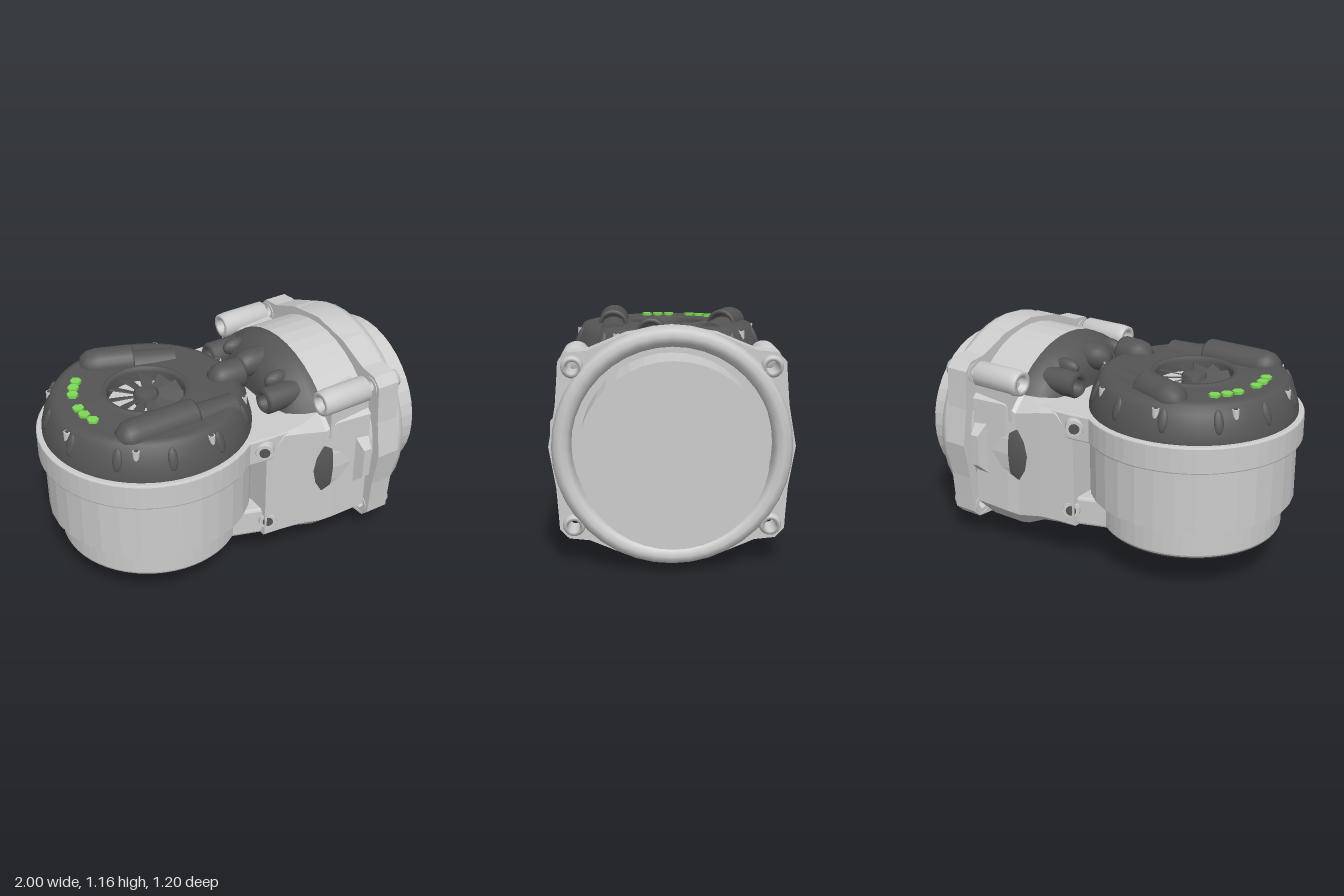
import * as THREE from 'three';

const mat = (color, flat = false) =>
  new THREE.MeshStandardMaterial({ color, flatShading: flat, side: THREE.DoubleSide });
const GREY = mat(0xcccccc), FLAT = mat(0xcccccc, true);
const DARK = mat(0x555555), DARKFLAT = mat(0x555555, true), GREEN = mat(0x7ed957);
const CX = -0.43;   // axis of the upright motor
const CY = 0.585;   // height of the sideways motor axis
const V = (x, y) => new THREE.Vector2(x, y);

export function createModel() {
  const model = new THREE.Group();

  const add = (name, geo, material, x = 0, y = 0, z = 0, parent = model) => {
    const m = new THREE.Mesh(geo, material);
    m.name = name;
    m.position.set(x, y, z);
    parent.add(m);
    return m;
  };
  const lathe = (pts, n = 48) => new THREE.LatheGeometry(pts.map(p => V(...p)), n);
  // lathe around the x axis: points are [radius, x]
  const latheX = (pts, n) => lathe(pts, n).rotateZ(-Math.PI / 2);
  const plan = (shape, h, bevel = 0) => new THREE.ExtrudeGeometry(shape, {
    depth: h - 2 * bevel, bevelEnabled: bevel > 0, bevelSize: bevel, bevelOffset: -bevel,
    bevelThickness: bevel, bevelSegments: 2, curveSegments: 24,
  }).translate(0, 0, bevel).rotateX(-Math.PI / 2);
  // round end at the upright motor, tapering into a neck
  const keyhole = (r, neck, x1, w1) => {
    const a = 0.95, s = new THREE.Shape();
    s.moveTo(x1, -w1);
    s.lineTo(0, -neck);
    for (let i = 0; i <= 40; i++) {
      const t = -a - (i / 40) * (2 * Math.PI - 2 * a);
      s.lineTo(CX + r * Math.cos(t), r * Math.sin(t));
    }
    s.lineTo(0, neck);
    s.lineTo(x1, w1);
    s.closePath();
    return s;
  };

  // upright motor, its collar and the base plate
  add('uprightMotor', new THREE.CylinderGeometry(0.54, 0.54, 0.34, 32), FLAT, CX, 0.585, 0);
  add('motorGap', new THREE.CylinderGeometry(0.46, 0.46, 0.04, 32), GREY, CX, 0.405, 0);
  add('collar', plan(keyhole(0.57, 0.475, 0.12, 0.48), 0.14, 0.008), FLAT, 0, 0.74, 0);
  add('basePlate', plan(keyhole(0.48, 0.44, 0.2, 0.47), 0.16, 0.015), FLAT, 0, 0.24, 0);
  add('baseDisc', new THREE.CylinderGeometry(0.47, 0.465, 0.01, 48), DARK, CX, 0.237, 0);

  // bolted strip under the base
  const strip = new THREE.Shape();
  strip.absarc(0, 0.19, 0.105, 0, Math.PI);
  strip.absarc(0, -0.19, 0.105, Math.PI, 2 * Math.PI);
  add('boltStrip', plan(strip, 0.055, 0.015), GREY, -0.05, 0.19, 0);
  for (let i = 0; i < 4; i++) {
    const z = -0.2 + i * 0.133;
    add('stripBolt', new THREE.CylinderGeometry(0.035, 0.035, 0.03, 6), FLAT, -0.05, 0.183, z);
    add('stripBoltSocket', new THREE.CylinderGeometry(0.018, 0.018, 0.004, 12), DARK, -0.05, 0.167, z);
  }

  // fan cap
  add('cap', lathe([[0.54, 0.87], [0.54, 0.9], [0.525, 0.96], [0.5, 1.02], [0.475, 1.055],
    [0.44, 1.065], [0.235, 1.055], [0.225, 1.07], [0.205, 1.07], [0.195, 1.05], [0.195, 0.98]], 64),
  DARK, CX);
  add('fanFloor', new THREE.CylinderGeometry(0.2, 0.2, 0.02, 40), GREY, CX, 0.985, 0);
  add('fanHub', lathe([[0, 1.055], [0.05, 1.055], [0.065, 1.045], [0.065, 0.99]], 24), DARK, CX);
  const blade = new THREE.Shape([V(0.05, -0.02), V(0.12, -0.042), V(0.19, -0.05),
    V(0.19, 0.035), V(0.12, 0.02), V(0.05, 0.015)]);
  for (let i = 0; i < 11; i++) {
    const holder = new THREE.Group();
    holder.name = 'fanBlade';
    holder.position.set(CX, 1.025, 0);
    holder.rotation.y = (i / 11) * 2 * Math.PI;
    add('blade', plan(blade, 0.006), DARKFLAT, 0, 0, 0, holder).rotation.x = 0.4;
    model.add(holder);
  }
  for (let i = 0; i < 8; i++) {
    const a = -0.18 + i * Math.PI / 4;
    const x = CX + 0.495 * Math.cos(a), z = 0.495 * Math.sin(a);
    add('capScrew', new THREE.CylinderGeometry(0.018, 0.018, 0.05, 12), GREY, x, 1.012, z);
    add('capScrewSocket', new THREE.CylinderGeometry(0.011, 0.011, 0.004, 10), DARK, x, 1.038, z);
  }
  for (let i = 0; i < 12; i++) {
    const a = 0.26 + i * Math.PI / 6;
    const notch = add('capNotch', new THREE.SphereGeometry(0.06, 12, 8).scale(0.25, 1, 0.42),
      DARK, CX + 0.512 * Math.cos(a), 0.985, 0.512 * Math.sin(a));
    notch.rotation.set(0, -a, 0.35, 'YXZ');
  }
  [[-0.7, -0.25], [-0.74, -0.2], [-0.77, -0.145], [-0.8, -0.02], [-0.8, 0.045], [-0.785, 0.11]]
    .forEach(([x, z]) => add('indicator',
      new THREE.CylinderGeometry(0.03, 0.03, 0.016, 6), GREEN, x, 1.068, z));

  // hooded tubes: closed rounded back, open mouth
  const hood = (name, x, y, z, angle, len, r) => {
    const g = latheX([[0, 0], [r * 0.6, 0.015], [r * 0.9, 0.05], [r, 0.1], [r, len - 0.01],
      [r * 0.95, len], [r * 0.72, len], [r * 0.7, len - 0.1], [0, len - 0.1]], 24);
    add(name, g, DARK, x, y, z).rotation.y = -angle;
  };
  hood('ventHood', -0.61, 1.05, -0.405, 0.35, 0.29, 0.085);
  hood('ventHood', -0.76, 1.05, 0.305, 0, 0.43, 0.085);
  hood('cableHood', -0.11, 1.05, 0.085, 0.05, 0.19, 0.08);
  // low ramps in front of the hood mouths
  [[-0.24, -0.275, 0.35, 0.24], [-0.23, 0.305, 0, 0.26]].forEach(([x, z, a, len]) => {
    const g = new THREE.CylinderGeometry(0.075, 0.085, len, 20).rotateZ(-Math.PI / 2);
    add('ventRamp', g, DARK, x, 1.01, z).rotation.y = -a;
  });

  // bracket lofted along x: [x, bottom, top, half width, chamfer]
  const rings = [[0, 0.24, 0.75, 0.47, 0.01], [0.1, 0.24, 0.88, 0.485, 0.015],
    [0.2, 0.225, 0.88, 0.5, 0.03], [0.34, 0.15, 0.9, 0.515, 0.08],
    [0.4, 0.13, 0.97, 0.53, 0.11], [0.6, 0.13, 0.99, 0.55, 0.13]];
  const pos = [], idx = [];
  rings.forEach(([x, b, t, w, c]) => {
    [[w, b + c], [w, t - c], [w - c, t], [c - w, t], [-w, t - c], [-w, b + c], [c - w, b], [w - c, b]]
      .forEach(([z, y]) => pos.push(x, y, z));
  });
  for (let i = 0; i < rings.length - 1; i++) for (let j = 0; j < 8; j++) {
    const a = i * 8 + j, b = i * 8 + (j + 1) % 8;
    idx.push(a, a + 8, b, b, a + 8, b + 8);
  }
  const last = (rings.length - 1) * 8;
  for (let j = 1; j < 7; j++) idx.push(0, j, j + 1, last, last + j + 1, last + j);
  const bracket = new THREE.BufferGeometry();
  bracket.setAttribute('position', new THREE.Float32BufferAttribute(pos, 3));
  bracket.setIndex(idx);
  bracket.computeVertexNormals();
  add('bracket', bracket, FLAT);

  for (const s of [-1, 1]) {
    // screw bosses along the top of the bracket
    add('screwBoss', latheX([[0, 0.38], [0.035, 0.36], [0.04, 0.32], [0.065, 0.32], [0.07, 0.36],
      [0.07, 0.6], [0, 0.6]], 20), GREY, 0, 0.975, s * 0.475);
    add('bossRoot', new THREE.BoxGeometry(0.24, 0.2, 0.09), FLAT, 0.48, 0.87, s * 0.48);
    // side rib near the flange
    const rib = add('sideRib', new THREE.CylinderGeometry(0.055, 0.1, 0.07, 4, 1)
      .rotateY(Math.PI / 4).rotateX(s * Math.PI / 2), FLAT, 0.56, 0.585, s * 0.565);
    rib.scale.set(0.6, 2.2, 1);
    // clamp screw on the collar and on the base
    for (const [x, y, z] of [[-0.02, 0.815, 0.475], [0.03, 0.33, 0.45]]) {
      const g = new THREE.CylinderGeometry(0.045, 0.055, 0.05, 16).rotateX(s * Math.PI / 2);
      add('clampBoss', g, GREY, x, y, s * z).rotation.y = -s * 0.5;
      const h = new THREE.CylinderGeometry(0.028, 0.028, 0.056, 12).rotateX(s * Math.PI / 2);
      add('clampSocket', h, DARK, x, y, s * z).rotation.y = -s * 0.5;
    }
  }

  // sideways motor
  add('motorBody', latheX([[0.54, 0.38], [0.54, 0.66]], 40), FLAT, 0, CY);
  add('motorBack', latheX([[0, 0.17], [0.36, 0.17], [0.45, 0.205], [0.505, 0.27], [0.535, 0.33],
    [0.54, 0.385]], 40), DARK, 0, CY);
  add('endDrum', latheX([[0.445, 0.6], [0.445, 1], [0, 1]], 40), FLAT, 0, CY);
  hood('motorKnob', 0.1, 1.02, 0, 0, 0.2, 0.075);
  for (const s of [-1, 1]) {
    const eye = latheX([[0.07, 0.2], [0.07, 0.02], [0.055, 0], [0.04, 0.02], [0.035, 0.08],
      [0, 0.08]], 20);
    add('motorEye', eye, DARK, 0.1, 0.95, s * 0.27);
    add('motorFin', new THREE.SphereGeometry(0.08, 14, 10).scale(1, 0.6, 0.5), DARK, 0.24, 1.01, s * 0.2);
  }

  // flange with four drilled corners and a rounded front lip
  const q = [[0, 0.575], [0.22, 0.54], [0.4, 0.465], [0.5, 0.455], [0.545, 0.41], [0.55, 0.33],
    [0.56, 0.2], [0.595, 0]];
  const rev = q.slice(1, -1).reverse();
  const outline = [...q, ...rev.map(([a, b]) => [a, -b]), [0, -0.575],
    ...q.slice(1).reverse().slice(1).reverse().map(([a, b]) => [-a, -b]), [-0.595, 0],
    ...rev.map(([a, b]) => [-a, b])];
  const flange = new THREE.Shape(outline.map(p => V(...p)));
  const hole = (x, y, r) => flange.holes.push(new THREE.Path().absarc(x, y, r, 0, 2 * Math.PI, true));
  hole(0, 0, 0.49);
  for (const x of [-0.475, 0.475]) for (const y of [-0.387, 0.387]) {
    hole(x, y, 0.03);
    add('screwCollar', latheX([[0.03, 0.64], [0.03, 0.81], [0.046, 0.81], [0.055, 0.78],
      [0.055, 0.64]], 18), GREY, 0, CY + y, x);
  }
  add('flange', new THREE.ExtrudeGeometry(flange, { depth: 0.13, bevelEnabled: false, curveSegments: 20 })
    .rotateY(Math.PI / 2), FLAT, 0.645, CY);
  add('flangeLip', latheX([[0.49, 0.65], [0.485, 0.8], [0.505, 0.83], [0.535, 0.84], [0.565, 0.83],
    [0.58, 0.79], [0.575, 0.65]], 40), GREY, 0, CY);
  add('flangeSeat', latheX([[0.44, 0.7], [0.5, 0.7]], 40), GREY, 0, CY);

  return model;
}
